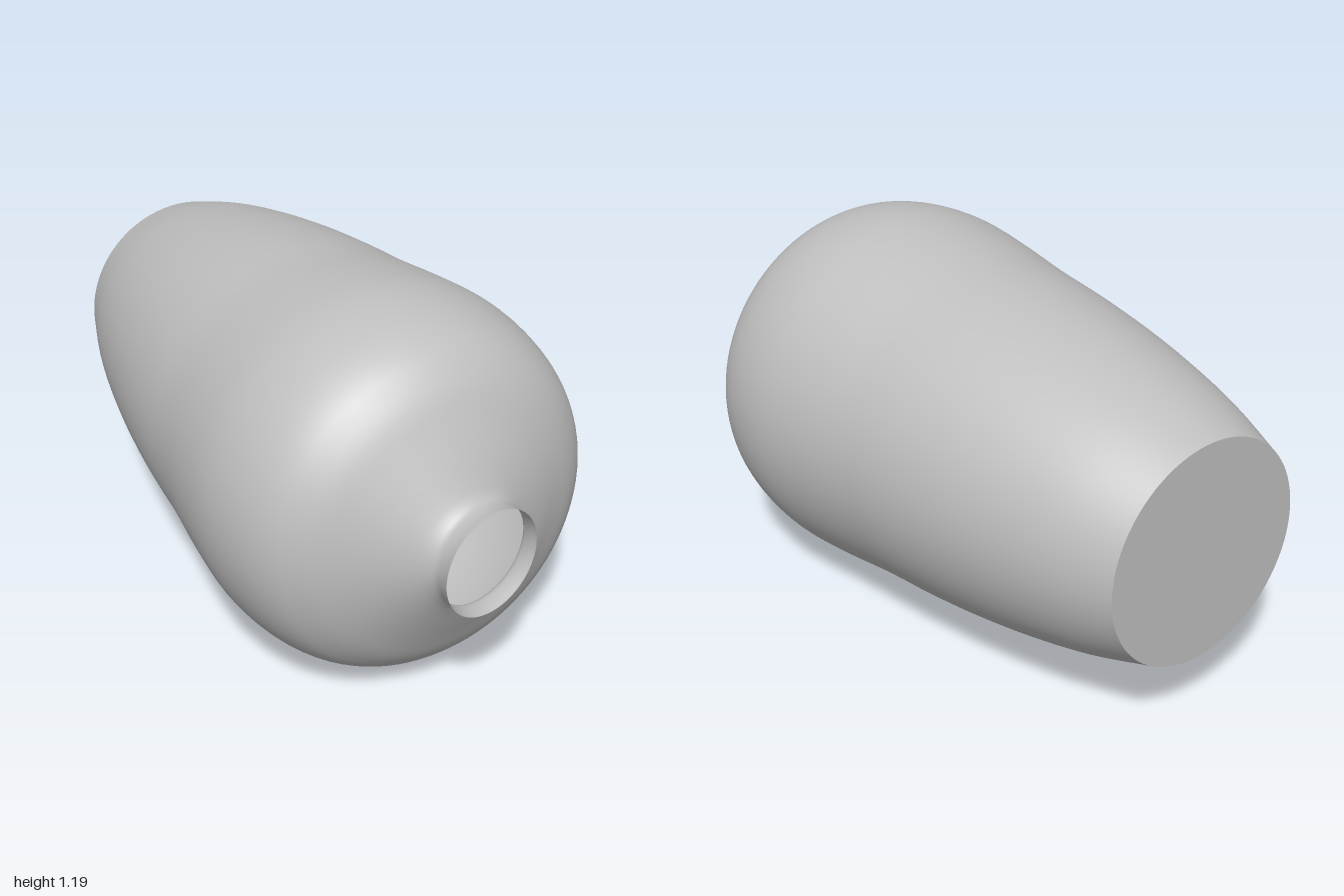
import * as THREE from 'three';
import { mergeVertices } from 'three/addons/utils/BufferGeometryUtils.js';

// Body profile from base to lip: [z, radius, sideways tilt of the ring]
const PROFILE = [
  [-1, 0.352, 0], [-0.8, 0.42, 0], [-0.6, 0.469, 0], [-0.4, 0.506, 0],
  [-0.2, 0.533, 0], [0, 0.553, 0], [0.2, 0.58, 0], [0.37, 0.595, 0],
  [0.5, 0.585, 0], [0.6, 0.56, 0], [0.67, 0.525, 0], [0.715, 0.485, 0],
  [0.755, 0.435, 0.005], [0.8, 0.353, 0.015], [0.84, 0.278, 0.03],
  [0.875, 0.21, 0.075], [0.895, 0.178, 0.12], [0.915, 0.163, 0.15],
  [0.945, 0.162, 0.155], [0.973, 0.167, 0.156],
];
const AXIS_HEIGHT = 0.595;

export function createModel() {
  const group = new THREE.Group();
  group.name = 'vase';

  const clay = new THREE.MeshStandardMaterial({ color: 0xbfbfbf, side: THREE.DoubleSide });
  clay.name = 'grey clay';

  // Thin open shell, smoothly interpolated along the profile
  const curve = new THREE.CatmullRomCurve3(PROFILE.map((p) => new THREE.Vector3(...p)));
  const rings = curve.getPoints((PROFILE.length - 1) * 4);
  const lathe = new THREE.LatheGeometry(rings.map((p) => new THREE.Vector2(p.y, p.x)), 96);
  lathe.rotateX(Math.PI / 2);

  // Lean the neck rings to one side
  const pos = lathe.attributes.position;
  for (let i = 0; i < pos.count; i++) {
    const tilt = rings[i % rings.length].z;
    const x = pos.getX(i);
    pos.setXYZ(i, x + tilt * 0.075, pos.getY(i), pos.getZ(i) - tilt * x);
  }
  lathe.deleteAttribute('uv');
  lathe.deleteAttribute('normal');
  const shell = mergeVertices(lathe, 1e-5);
  shell.computeVertexNormals();

  const body = new THREE.Mesh(shell, clay);
  body.name = 'body';
  body.position.y = AXIS_HEIGHT;
  group.add(body);

  // Flat base closing the back end
  const base = new THREE.Mesh(new THREE.CircleGeometry(PROFILE[0][1], 96), clay);
  base.name = 'base';
  base.rotation.y = Math.PI;
  base.position.set(0, AXIS_HEIGHT, -1);
  group.add(base);

  return group;
}
